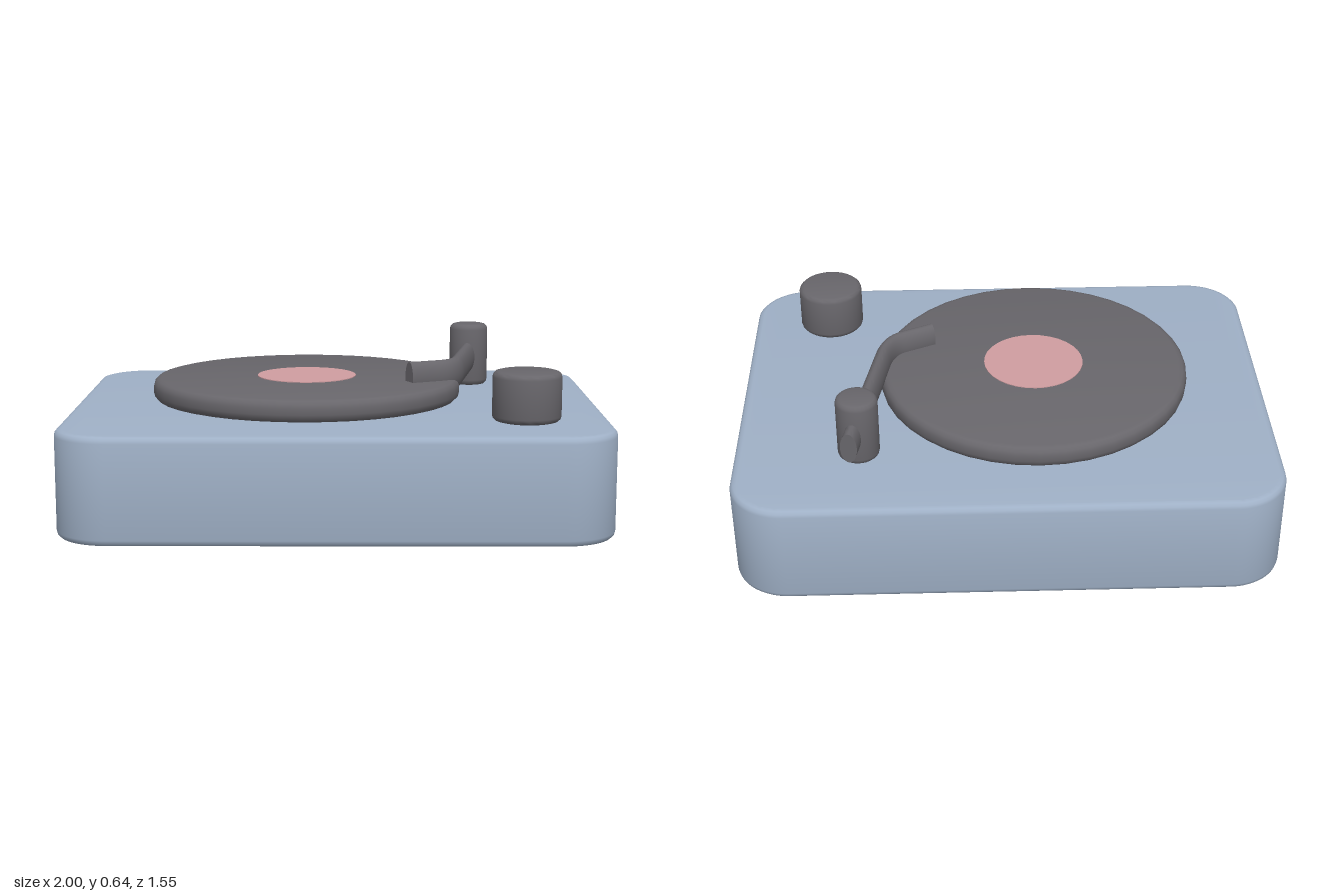
import * as THREE from 'three';
import { toCreasedNormals } from 'three/addons/utils/BufferGeometryUtils.js';

const material = (color) => new THREE.MeshStandardMaterial({ color });
const blue = material(0x9fb0c6);
const dark = material(0x68666b);
const pink = material(0xcf9da0);

function part(name, geometry, mat, x = 0, y = 0, z = 0) {
  const mesh = new THREE.Mesh(toCreasedNormals(geometry, 0.7), mat);
  mesh.name = name;
  mesh.position.set(x, y, z);
  return mesh;
}

// Disc or post with softened rims, standing on y = 0
function softCylinder(radius, height, bevel, segments = 32) {
  const points = [[0, 0]];
  const steps = 3;
  for (const top of [0, 1]) {
    for (let i = 0; i <= steps; i++) {
      const a = ((top ? i : i - steps) / steps) * Math.PI / 2;
      points.push([
        radius - bevel + bevel * Math.cos(a),
        (top ? height - bevel : bevel) + bevel * Math.sin(a),
      ]);
    }
  }
  points.push([0, height]);
  return new THREE.LatheGeometry(points.map(([x, y]) => new THREE.Vector2(x, y)), segments);
}

// Rounded slab lying flat, with beveled top and bottom edges
function slab(width, height, depth, corner, bevel) {
  const w = width / 2 - bevel, d = depth / 2 - bevel, r = corner - bevel;
  const shape = new THREE.Shape();
  shape.absarc(w - r, d - r, r, 0, Math.PI / 2);
  shape.absarc(-w + r, d - r, r, Math.PI / 2, Math.PI);
  shape.absarc(-w + r, -d + r, r, Math.PI, Math.PI * 1.5);
  shape.absarc(w - r, -d + r, r, Math.PI * 1.5, Math.PI * 2);
  const geometry = new THREE.ExtrudeGeometry(shape, {
    depth: height - 2 * bevel, bevelThickness: bevel, bevelSize: bevel, bevelSegments: 3, curveSegments: 10,
  });
  return geometry.rotateX(-Math.PI / 2).translate(0, bevel, 0);
}

// Bent arm: round section swept along a flat path, then stretched to a tall oval
function armGeometry() {
  const v = (x, z) => new THREE.Vector3(x, 0, z);
  const path = new THREE.CurvePath();
  path.add(new THREE.LineCurve3(v(0.57, -0.56), v(0.463, 0.02)));
  path.add(new THREE.QuadraticBezierCurve3(v(0.463, 0.02), v(0.444, 0.105), v(0.39, 0.13)));
  path.add(new THREE.LineCurve3(v(0.39, 0.13), v(0.275, 0.185)));
  const section = new THREE.Shape().absarc(0, 0, 0.031, 0, Math.PI * 2);
  const geometry = new THREE.ExtrudeGeometry(section, { steps: 48, curveSegments: 12, extrudePath: path });
  return geometry.scale(1, 1.95, 1);
}

export function createModel() {
  const model = new THREE.Group();
  model.name = 'recordPlayer';

  model.add(part('plinth', slab(2, 0.39, 1.555, 0.2, 0.024), blue));

  // Platter on a short spindle, with the centre label
  const px = -0.115, pz = 0.02;
  model.add(part('spindle', new THREE.CylinderGeometry(0.06, 0.06, 0.06, 20), dark, px, 0.41, pz));
  model.add(part('platter', softCylinder(0.59, 0.083, 0.03, 40), dark, px, 0.407, pz));
  model.add(part('label', new THREE.CylinderGeometry(0.19, 0.19, 0.012, 32), pink, px, 0.487, pz));

  // Tonearm and its pivot
  model.add(part('tonearmPivot', softCylinder(0.077, 0.25, 0.022, 28), dark, 0.543, 0.388, -0.427));
  model.add(part('tonearm', armGeometry(), dark, 0, 0.505, 0));

  model.add(part('knob', softCylinder(0.125, 0.18, 0.02, 32), dark, 0.687, 0.398, 0.483));
  return model;
}
